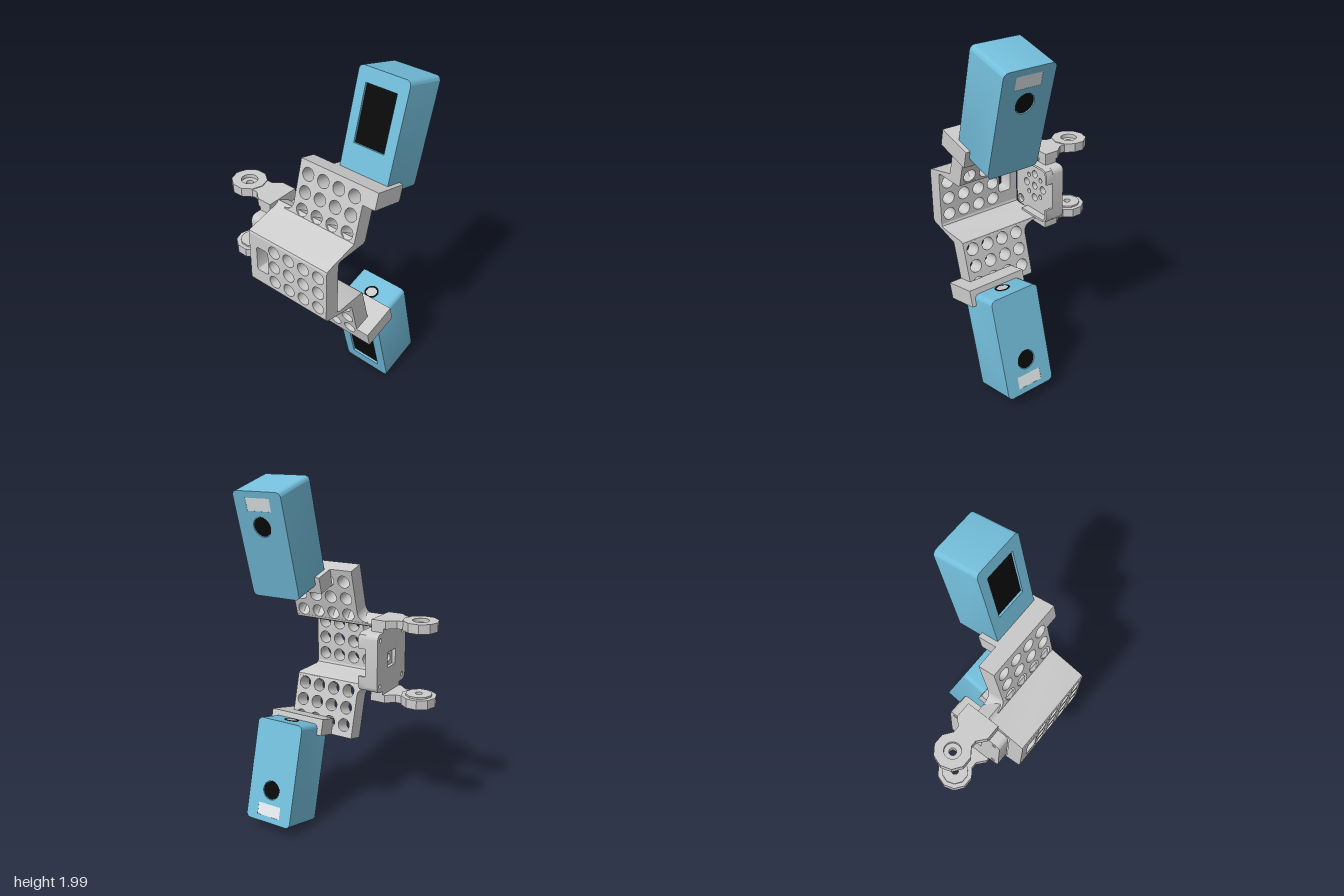
import * as THREE from 'three';
import { toCreasedNormals } from 'three/addons/utils/BufferGeometryUtils.js';

const GREY = 0xcccccc, BLUE = 0x74bfdc, BLACK = 0x0a0a0a, WHITE = 0xe4ebee;
const materials = {};
const material = (color) =>
  (materials[color] ??= new THREE.MeshStandardMaterial({ color }));

// Shape helpers
const poly = (pts) => new THREE.Shape(pts.map(([a, b]) => new THREE.Vector2(a, b)));
const rect = (a0, a1, b0, b1) => poly([[a0, b0], [a1, b0], [a1, b1], [a0, b1]]);
const circle = (a, b, r) => new THREE.Shape().absarc(a, b, r, 0, Math.PI * 2);
const ngon = (a, b, r, n) => poly(Array.from({ length: n }, (_, i) => {
  const t = (i / n) * Math.PI * 2;
  return [a + r * Math.cos(t), b + r * Math.sin(t)];
}));
function roundRect(a0, a1, b0, b1, r) {
  const s = new THREE.Shape(), h = Math.PI / 2;
  s.absarc(a1 - r, b1 - r, r, 0, h);
  s.absarc(a0 + r, b1 - r, r, h, 2 * h);
  s.absarc(a0 + r, b0 + r, r, 2 * h, 3 * h);
  s.absarc(a1 - r, b0 + r, r, 3 * h, 4 * h);
  return s;
}
const cut = (shape, ...holes) => { shape.holes.push(...holes); return shape; };

// Extrude along an axis: x takes a (y,z) shape, y a (z,x) shape, z an (x,y) shape
const X = new THREE.Vector3(1, 0, 0), Y = new THREE.Vector3(0, 1, 0), Z = new THREE.Vector3(0, 0, 1);
const BASES = {
  x: new THREE.Matrix4().makeBasis(Y, Z, X),
  y: new THREE.Matrix4().makeBasis(Z, X, Y),
  z: new THREE.Matrix4(),
};
function slab(axis, shape, from, to) {
  const g = new THREE.ExtrudeGeometry(shape, { depth: to - from, bevelEnabled: false, curveSegments: 10 });
  return g.translate(0, 0, from).applyMatrix4(BASES[axis]);
}

// Mirror a geometry in the plane y = 1, keeping faces outward
function mirrored(geo) {
  const g = geo.clone();
  const p = g.attributes.position, a = new THREE.Vector3(), b = new THREE.Vector3();
  for (let i = 0; i < p.count; i += 3) {
    a.fromBufferAttribute(p, i);
    b.fromBufferAttribute(p, i + 2);
    p.setXYZ(i, b.x, 2 - b.y, b.z);
    p.setY(i + 1, 2 - p.getY(i + 1));
    p.setXYZ(i + 2, a.x, 2 - a.y, a.z);
  }
  return g;
}

export function createModel() {
  const model = new THREE.Group();
  model.name = 'cameraRig';
  const add = (name, geo, color = GREY) => {
    const mesh = new THREE.Mesh(toCreasedNormals(geo, 0.6), material(color));
    mesh.name = name;
    model.add(mesh);
  };
  const addPair = (name, geo, color) => {
    add('upper' + name, geo, color);
    add('lower' + name, mirrored(geo), color);
  };
  const holeZ = [0.045, 0.145, 0.245, 0.345];

  // Perforated back plate with cable window
  const plate = rect(0.85, 1.15, -0.13, 0.4);
  for (const y of [0.9, 1, 1.1]) for (const z of holeZ) plate.holes.push(circle(y, z, 0.037));
  plate.holes.push(roundRect(0.925, 1.077, -0.08, 0, 0.015));
  add('backPlate', slab('x', plate, -0.4, -0.31));

  // Channel walls above and below the plate
  addPair('ChannelWall', slab('z', poly([
    [-0.4, 1.15], [-0.31, 1.15], [-0.305, 1.163], [-0.29, 1.17], [-0.11, 1.17], [-0.096, 1.177],
    [-0.091, 1.19], [-0.17, 1.235], [-0.178, 1.222], [-0.192, 1.213], [-0.385, 1.169], [-0.396, 1.162],
  ]), -0.13, 0.4));

  // Tilted frame shared by the arm, cradle and camera: u outward, v along the arm
  const tilt = new THREE.Matrix4().makeRotationZ(-Math.PI / 12).setPosition(-0.108, 1.515, 0);
  const addTilted = (name, geo, color) => addPair(name, geo.applyMatrix4(tilt), color);

  // Perforated arm with a flared foot
  const arm = new THREE.Shape();
  arm.moveTo(0, 0.4);
  arm.lineTo(-0.32, 0.4);
  arm.lineTo(-0.32, -0.075);
  arm.lineTo(-0.305, -0.07);
  arm.quadraticCurveTo(-0.3, -0.015, -0.245, -0.015);
  arm.lineTo(0, -0.015);
  for (const v of [-0.07, -0.172, -0.272]) for (const z of holeZ) arm.holes.push(circle(v, z, 0.037));
  addTilted('Arm', slab('x', arm, 0, 0.1));

  // Cradle gripping the inner end of the camera
  addTilted('Cradle', slab('x', rect(-0.095, 0, 0.12, 0.475), 0.1, 0.215));
  addTilted('CradleLip', slab('x', rect(-0.095, 0, 0.4, 0.475), 0, 0.1));

  // Camera body in three layers, so screen, lens and lamp sit in recesses
  const body = () => roundRect(-0.062, 0.528, 0.15, 0.45, 0.028);
  const screen = () => rect(0.143, 0.45, 0.205, 0.39);
  const lamp = () => rect(0.423, 0.493, 0.225, 0.375);
  addTilted('CameraBack', slab('x', cut(body(), screen()), 0.11, 0.125), BLUE);
  addTilted('CameraBody', slab('x', body(), 0.125, 0.37), BLUE);
  addTilted('CameraFront', slab('x', cut(body(), circle(0.339, 0.3, 0.055), lamp()), 0.37, 0.378), BLUE);
  addTilted('Screen', slab('x', screen(), 0.123, 0.126), BLACK);
  addTilted('Lens', slab('x', circle(0.339, 0.3, 0.052), 0.365, 0.374), BLACK);
  addTilted('Lamp', slab('x', lamp(), 0.365, 0.377), WHITE);
  // Tripod socket in the camera end
  addTilted('SocketRing', slab('y', cut(circle(0.3, 0.265, 0.042), circle(0.3, 0.265, 0.032)), -0.064, -0.06), BLACK);
  addTilted('SocketCore', slab('y', circle(0.3, 0.265, 0.032), -0.063, -0.06), GREY);

  // Motor mount: layered plate with countersunk corners and a horn hole pattern
  const cx = -0.135, cy = 1;
  const mount = (cornerR, pattern) => {
    const s = roundRect(-0.305, 0.03, 0.832, 1.168, 0.035);
    for (const i of [-1, 1]) for (const j of [-1, 1]) {
      s.holes.push(circle(cx + i * 0.131, cy + j * 0.131, cornerR));
      if (pattern) s.holes.push(circle(cx + i * 0.053, cy + j * 0.053, 0.014));
    }
    if (pattern) {
      for (const i of [-1, 1])
        s.holes.push(circle(cx + i * 0.075, cy, 0.023), circle(cx, cy + i * 0.075, 0.023));
      s.holes.push(circle(cx, cy, 0.022));
    } else {
      s.holes.push(rect(cx - 0.045, cx + 0.045, cy - 0.045, cy + 0.045));
    }
    return s;
  };
  add('mountFace', slab('z', mount(0.026, true), -0.15, -0.13));
  add('mountCore', slab('z', mount(0.012, true), -0.185, -0.15));
  add('mountRear', slab('z', mount(0.012, false), -0.205, -0.185));

  // Raised rim of the mount, open at the middle of its outer side
  addPair('MountRim', slab('z', poly([
    [0.03, 1.08], [0.03, 1.133], [0.02, 1.158], [-0.005, 1.168], [-0.2, 1.168],
    [-0.2, 1.155], [-0.01, 1.155], [0.011, 1.147], [0.016, 1.13], [0.016, 1.08],
  ]), -0.13, -0.085));

  // Hinge fork: foot, waisted stem and faceted knuckle
  addPair('ForkFoot', slab('y', rect(-0.205, -0.13, -0.235, -0.035), 1.16, 1.2));
  addPair('ForkStem', slab('y', poly([
    [-0.13, -0.235], [-0.13, -0.035], [-0.218, -0.035], [-0.265, -0.075],
    [-0.33, -0.075], [-0.33, -0.195], [-0.265, -0.195], [-0.218, -0.235],
  ]), 1.19, 1.235));
  const hz = -0.38;
  const ring = (r, hole) => cut(ngon(hz, cx, r, 10), circle(hz, cx, hole));
  addPair('KnuckleBoss', slab('y', ring(0.075, 0.02), 1.177, 1.19));
  addPair('Knuckle', slab('y', ring(0.1, 0.02), 1.187, 1.218));
  addPair('KnuckleRim', slab('y', ring(0.1, 0.046), 1.218, 1.24));

  return model;
}
